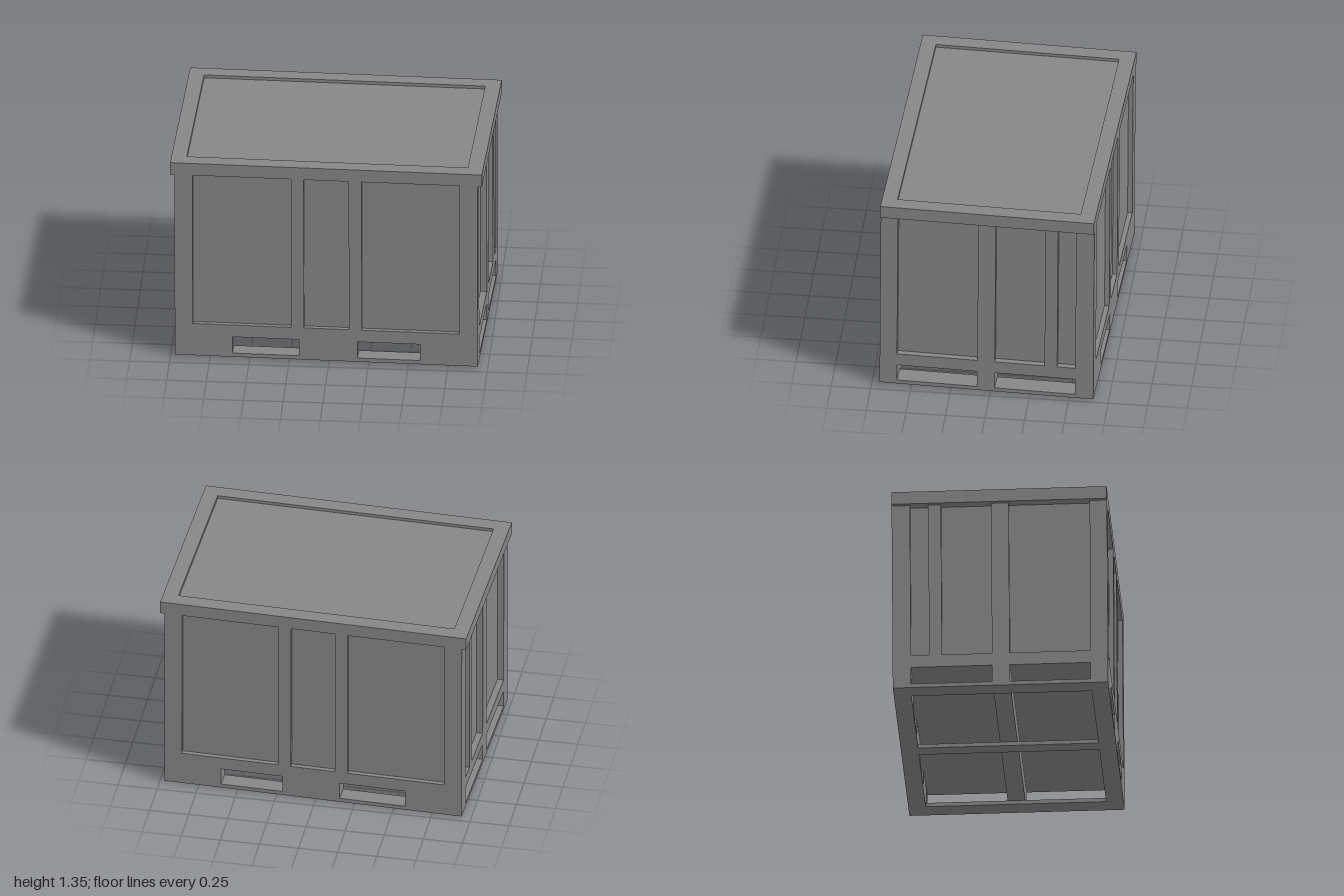
import * as THREE from 'three';

const grey = new THREE.MeshStandardMaterial({ color: 0x868686, flatShading: true });

// Half sizes and levels of the crate
const HX = 0.955, HZ = 0.677, RAIL = 0.026, DECK = 0.139, SILL = 0.222, RIM = 1.259, TOP = 1.342;

// Box given by its extents on each axis
function block(parent, name, [x0, x1], [y0, y1], [z0, z1]) {
  const mesh = new THREE.Mesh(new THREE.BoxGeometry(x1 - x0, y1 - y0, z1 - z0), grey);
  mesh.position.set((x0 + x1) / 2, (y0 + y1) / 2, (z0 + z1) / 2);
  mesh.name = name;
  parent.add(mesh);
}

function rectangle(Type, x0, x1, y0, y1) {
  return new Type([[x0, y0], [x1, y0], [x1, y1], [x0, y1]].map(([x, y]) => new THREE.Vector2(x, y)));
}

// Flat plate with rectangular openings, extruded along +z
function plate(parent, name, outer, holes, depth) {
  const shape = rectangle(THREE.Shape, ...outer);
  holes.forEach((h) => shape.holes.push(rectangle(THREE.Path, ...h)));
  const mesh = new THREE.Mesh(new THREE.ExtrudeGeometry(shape, { depth, bevelEnabled: false }), grey);
  mesh.name = name;
  parent.add(mesh);
  return mesh;
}

export function createModel() {
  const model = new THREE.Group();
  model.name = 'storageCrate';
  const crate = new THREE.Group();
  crate.name = 'crate';
  model.add(crate);

  // Closed box behind the raised frame
  block(crate, 'core', [-0.915, 0.915], [DECK, RIM], [-0.647, 0.647]);

  const wallY = [SILL, RIM];
  for (const s of [-1, 1]) {
    const span = (a, b) => (s > 0 ? [a, b] : [-b, -a]);

    for (const t of [-1, 1]) {
      // Corner posts
      block(crate, 'cornerPost', span(0.842, HX), wallY, t > 0 ? [0.568, HZ] : [-HZ, -0.562]);
      // Ribs on the long walls
      block(crate, 'longWallRib', t > 0 ? [0.143, 0.224] : [-0.222, -0.141], wallY, span(0.6, HZ));
    }

    // Unevenly spaced ribs on the short walls
    for (const z of [[-0.052, 0.059], [-0.447, -0.367]]) {
      block(crate, 'shortWallRib', span(0.87, HX), wallY, z);
    }

    // Base walls with fork openings
    const long = plate(crate, 'longBaseWall', [-HX, HX, 0, SILL],
      [[-0.592, -0.171, RAIL, DECK], [0.196, 0.59, RAIL, DECK]], 0.11);
    long.position.z = s > 0 ? HZ - 0.11 : -HZ;

    const short = plate(crate, 'shortBaseWall', [-0.569, 0.569, 0, SILL],
      [[-0.568, -0.059, RAIL, DECK], [0.052, 0.562, RAIL, DECK]], 0.128);
    short.rotation.y = Math.PI / 2;
    short.position.x = s > 0 ? HX - 0.128 : -HX;
  }

  // Runner between the side openings and the cross strap beneath it
  block(crate, 'centreRunner', [-0.84, 0.84], [RAIL, DECK + 0.01], [-0.052, 0.059]);
  block(crate, 'bottomStrap', [-0.05, 0.05], [0, RAIL], [-0.568, 0.568]);

  // Lid: raised rim around a shallow sunken panel
  const rim = plate(crate, 'lidRim', [-0.983, 0.983, -HZ, HZ], [[-0.886, 0.886, -0.58, 0.58]], TOP - RIM);
  rim.rotation.x = -Math.PI / 2;
  rim.position.y = RIM;
  block(crate, 'lidPanel', [-0.9, 0.9], [RIM - 0.02, TOP - 0.02], [-0.6, 0.6]);

  // The crate stands slightly turned and tilted
  crate.rotation.set(-0.006, -0.0254, 0.002);
  crate.position.y = 0.006;
  return model;
}
